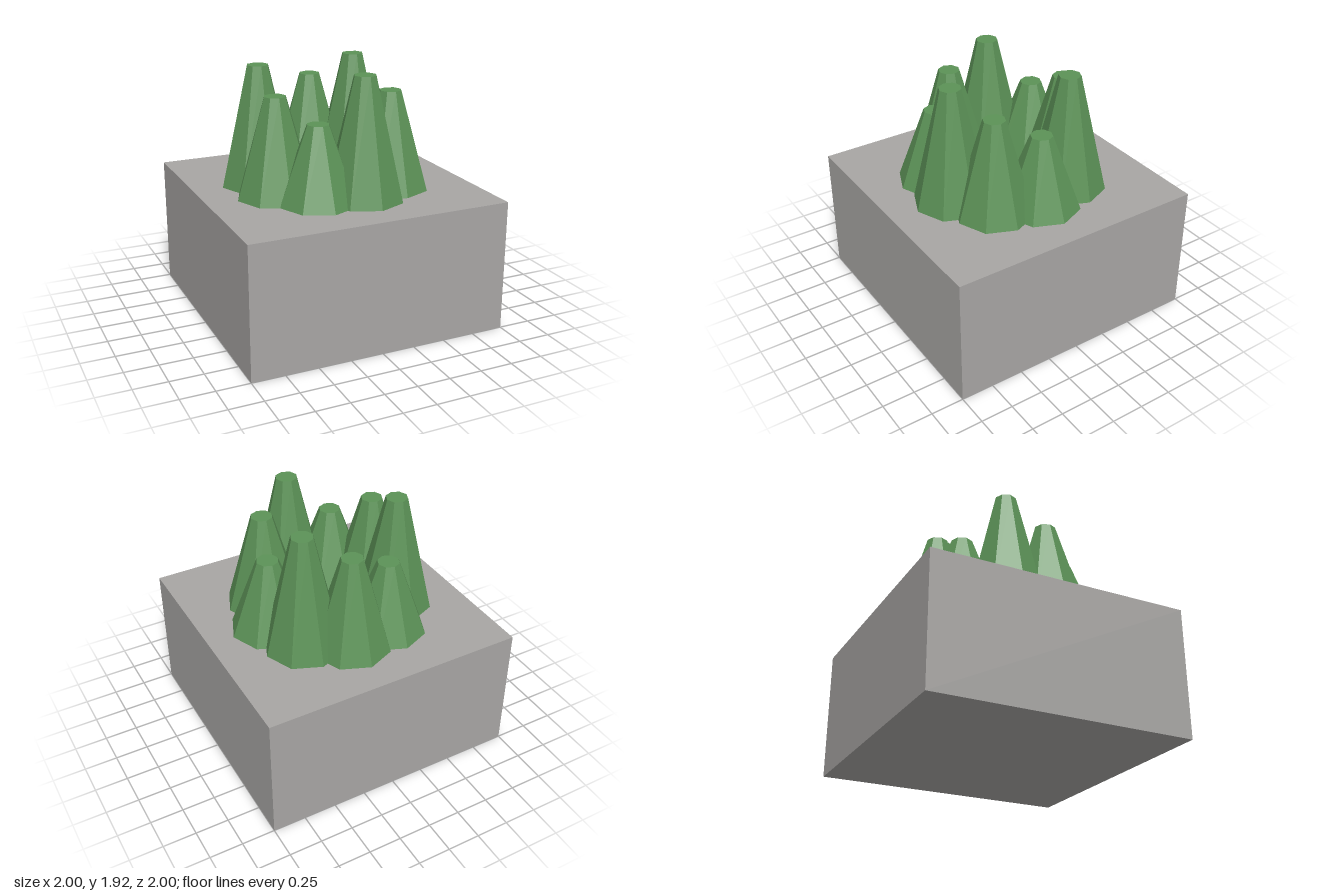
import * as THREE from 'three';

export function createModel() {
  const model = new THREE.Group();
  const stone = new THREE.MeshStandardMaterial({ name: 'stone grey', color: 0xa8a6a4, flatShading: true });
  const green = new THREE.MeshStandardMaterial({ name: 'leaf green', color: 0x5c9257, flatShading: true });

  // Square block
  const base = new THREE.Mesh(new THREE.BoxGeometry(2, 1, 2), stone);
  base.name = 'baseBlock';
  base.position.y = 0.5;
  model.add(base);

  // Ring of eight-sided tapered stalks in three repeating heights
  const stalks = new THREE.Group();
  stalks.name = 'stalkRing';
  const heights = [0.583, 0.75, 0.917];
  const count = 9;
  for (let i = 0; i < count; i++) {
    const angle = (i / count) * Math.PI * 2;
    const height = heights[i % 3];
    const stalk = new THREE.Mesh(new THREE.CylinderGeometry(0.083, 0.3, height, 8), green);
    stalk.name = `stalk${i + 1}`;
    stalk.position.set(Math.cos(angle) * 0.5, 1 + height / 2, Math.sin(angle) * 0.5);
    stalks.add(stalk);
  }
  model.add(stalks);
  return model;
}
